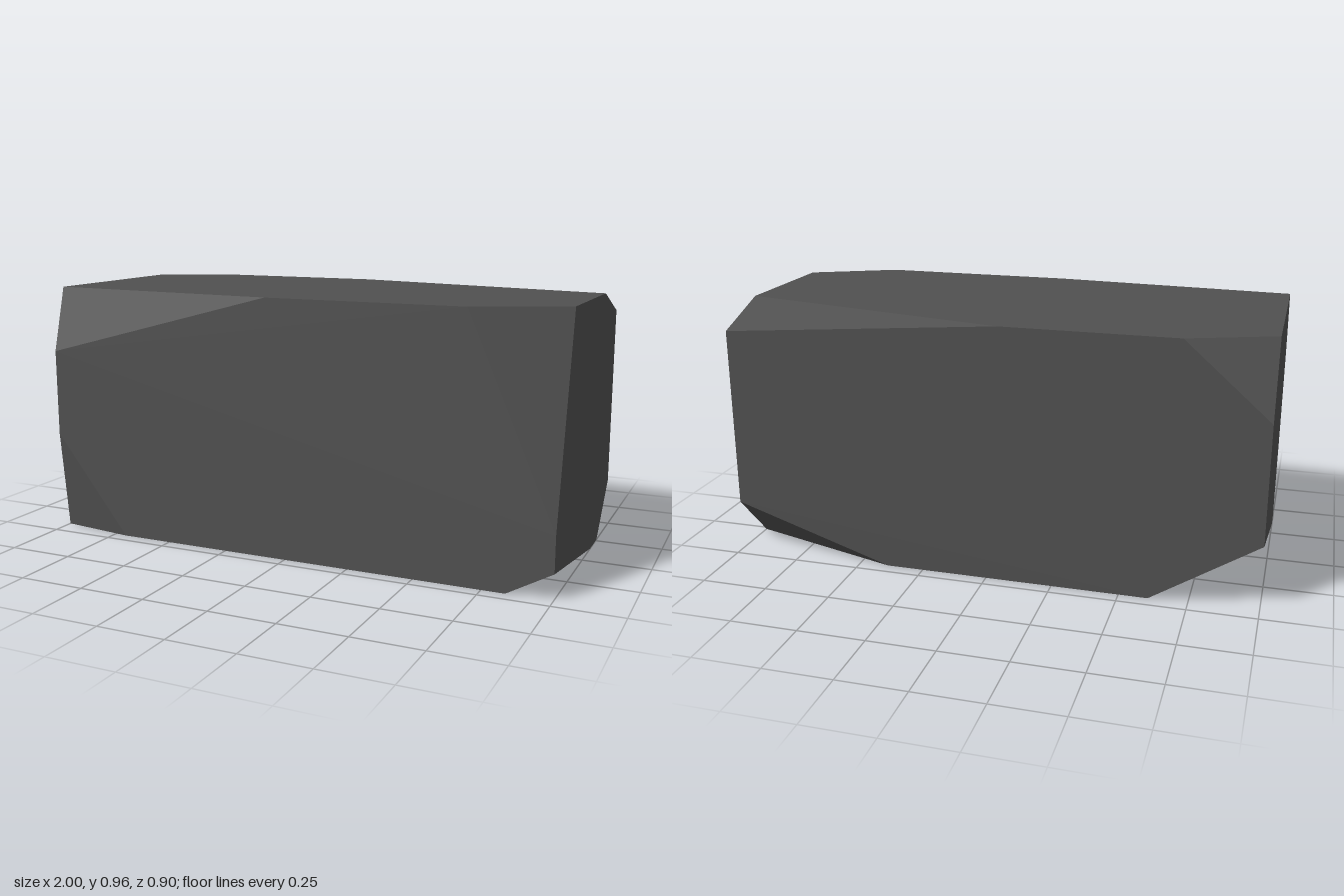
import * as THREE from 'three';
import { ConvexGeometry } from 'three/addons/geometries/ConvexGeometry.js';

// Half width, height and half depth of the uncut block
const W = 1, H = 0.963, D = 0.45;

// Each corner: side signs [x, y, z], then where its cut meets the x, y and z edges
const cuts = [
  { corner: [-1, 1, 1], at: [-0.07, 0.716, 0.382] },
  { corner: [1, 1, 1], at: [0.68, 0.225, 0.295] },
  { corner: [-1, -1, 1], at: [-0.7, 0.385, 0.41] },
  { corner: [1, -1, 1], at: [0.835, 0.093, -0.145] },
  { corner: [-1, 1, -1], at: [-0.69, 0.69, -0.332] },
  { corner: [1, 1, -1], at: [-0.05, 0.878, -0.213] },
  { corner: [-1, -1, -1], at: [-0.607, 0.25, 0.34] },
  { corner: [1, -1, -1], at: [0.39, 0.195, -0.265] },
];

export function createModel() {
  const group = new THREE.Group();
  group.name = 'chippedStone';

  const stone = new THREE.MeshStandardMaterial({ color: 0x505050 });
  stone.name = 'dark grey stone';

  // Every cut replaces one block corner by three points on its edges
  const points = [];
  for (const { corner: [sx, sy, sz], at: [cx, cy, cz] } of cuts) {
    const x = sx * W, y = sy > 0 ? H : 0, z = sz * D;
    points.push(
      new THREE.Vector3(cx, y, z),
      new THREE.Vector3(x, cy, z),
      new THREE.Vector3(x, y, cz),
    );
  }

  // Flat-faced block with all eight corners chipped off
  const block = new THREE.Mesh(new ConvexGeometry(points), stone);
  block.name = 'stoneBlock';
  group.add(block);
  return group;
}
